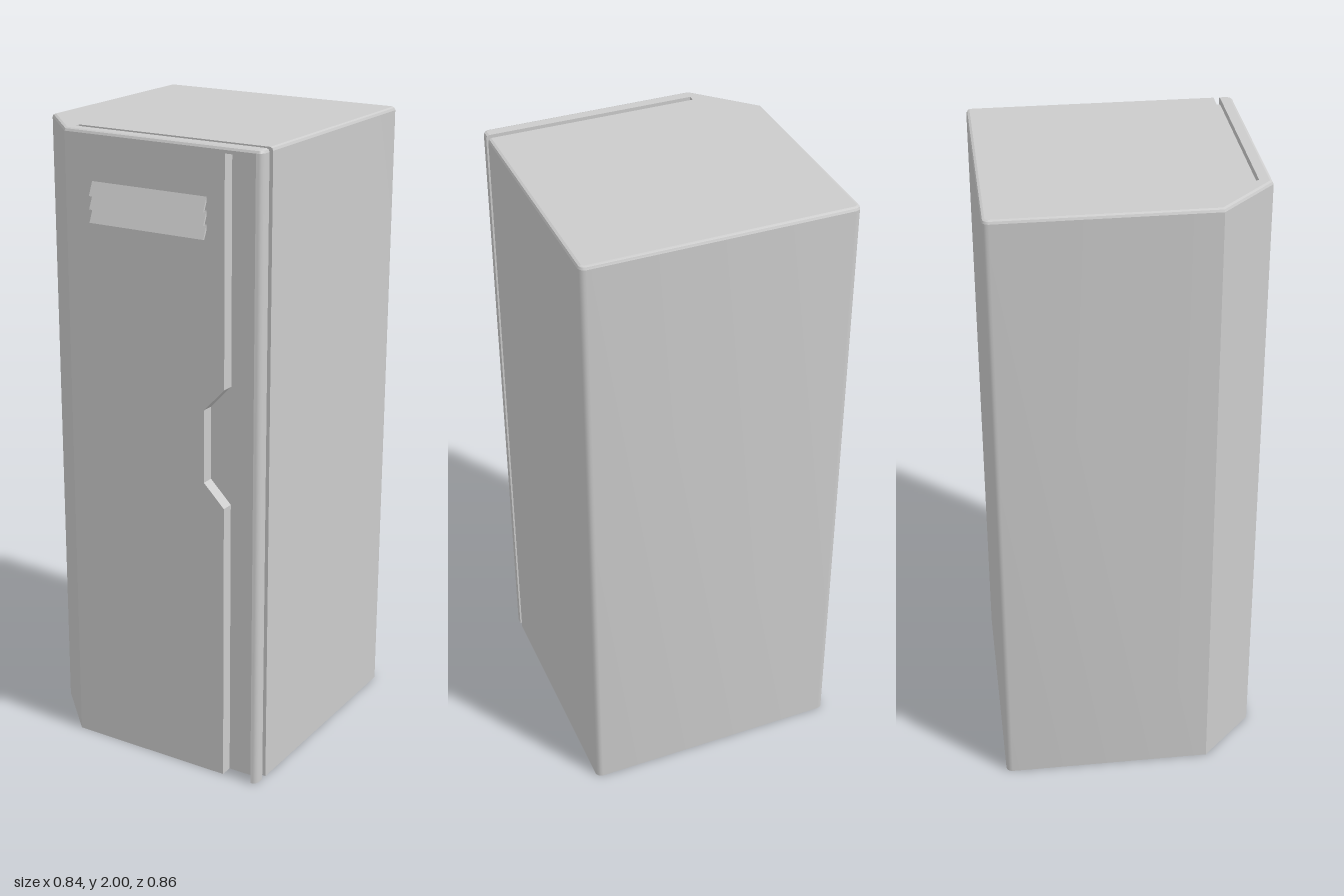
import * as THREE from 'three';
import { toCreasedNormals } from 'three/addons/utils/BufferGeometryUtils.js';

const grey = new THREE.MeshStandardMaterial({ color: 0xcccccc, side: THREE.DoubleSide });

function add(group, name, geometry) {
  const mesh = new THREE.Mesh(geometry, grey);
  mesh.name = name;
  group.add(mesh);
  return mesh;
}

// Skin between successive rows of [x, y, z] points
function loft(rows) {
  const pos = [];
  for (let r = 0; r < rows.length - 1; r++) {
    const a = rows[r], b = rows[r + 1];
    for (let i = 0; i < a.length - 1; i++) {
      pos.push(...a[i], ...b[i + 1], ...a[i + 1], ...a[i], ...b[i], ...b[i + 1]);
    }
  }
  const geo = new THREE.BufferGeometry();
  geo.setAttribute('position', new THREE.Float32BufferAttribute(pos, 3));
  geo.computeVertexNormals();
  return toCreasedNormals(geo, 0.6);
}

const flat = (pts) => new THREE.ShapeGeometry(new THREE.Shape(pts.map(([x, y]) => new THREE.Vector2(x, y))));

// Rounded vertical corner as [x, z] points, inset by d
function corner(cx, cz, from, to, d) {
  const pts = [];
  for (let i = 0; i <= 4; i++) {
    const t = from + (to - from) * i / 4;
    pts.push([cx + (0.02 - d) * Math.cos(t), cz + (0.02 - d) * Math.sin(t)]);
  }
  return pts;
}

// Footprint in two runs, leaving the door face and the side slot open
const post = (d) => [[0.42 - d, 0.37], ...corner(0.40, 0.39, 0, Math.PI / 2, d)];
const shell = (d) => [
  [-0.25 + d * 0.414, 0.41 - d], [-0.42 + d, 0.24 - d * 0.414],
  ...corner(-0.40, -0.41, Math.PI, Math.PI * 1.5, d),
  ...corner(0.40, -0.41, Math.PI * 1.5, Math.PI * 2, d),
  [0.42 - d, 0.35],
];
const atY = (pts, y) => pts.map(([x, z]) => [x, y, z]);
const atZ = (pts, z) => pts.map(([x, y]) => [x, y, z]);

export function createModel() {
  const locker = new THREE.Group();
  locker.name = 'locker';

  // Outer walls, open at the bottom
  add(locker, 'cabinetWalls', loft([atY(shell(0), 0), atY(shell(0), 1.99)]));
  add(locker, 'doorFrontCorner', loft([atY(post(0), 0), atY(post(0), 1.99)]));

  // Softened top rim and the top panel, cut by the door gap
  const rim = (d) => [...post(d), ...shell(d)];
  add(locker, 'topRim', loft([[0, 1.99], [0.003, 1.997], [0.01, 2]].map(([d, y]) => atY(rim(d), y))));
  const top = [...rim(0.01), [-0.24, 0.35], [-0.24, 0.37]].map(([x, z]) => [x, -z]);
  add(locker, 'topPanel', flat(top).rotateX(-Math.PI / 2)).position.y = 2;

  // Gap between door and cabinet, along the top and down the side
  const gapSide = [[0.40, 0], [0.42, 0], [0.42, 1.99], [0.41, 2], [-0.24, 2], [-0.24, 1.98], [0.40, 1.98]];
  for (const z of [0.35, 0.37]) add(locker, 'doorGapSide', flat(gapSide)).position.z = z;
  const gapPath = [[0.40, 0], [0.40, 1.98], [-0.24, 1.98], [-0.24, 2]];
  add(locker, 'doorGapFloor', loft([atZ(gapPath, 0.37), atZ(gapPath, 0.35)]));

  // Door face with the stepped handle recess
  const edge = [[0.30, 0], [0.30, 0.91], [0.23, 0.98], [0.23, 1.21], [0.30, 1.285], [0.30, 1.98], [0.40, 1.98]];
  add(locker, 'doorFace', flat([[-0.25, 0], ...edge, [0.40, 1.99], [-0.25, 1.99]])).position.z = 0.41;
  const recess = [...edge, [0.40, 0]];
  add(locker, 'recessFloor', flat(recess)).position.z = 0.37;
  add(locker, 'recessWalls', loft([atZ(recess.slice(0, -1), 0.41), atZ(recess.slice(0, -1), 0.37)]));
  const far = [[0.40, 1.98], [0.40, 0]];
  add(locker, 'recessFarWall', loft([atZ(far, 0.41), atZ(far, 0.37)]));

  // Slanted vent slats
  const slat = new THREE.Shape([[0.408, 0.046], [0.428, 0], [0.422, 0], [0.408, 0.03]]
    .map(([z, y]) => new THREE.Vector2(z, y)));
  const slatGeo = new THREE.ExtrudeGeometry(slat, { depth: 0.395, bevelEnabled: false }).rotateY(-Math.PI / 2);
  for (let i = 0; i < 3; i++) add(locker, 'ventSlat', slatGeo).position.set(0.24, 1.73 + i * 0.04, 0);

  return locker;
}
